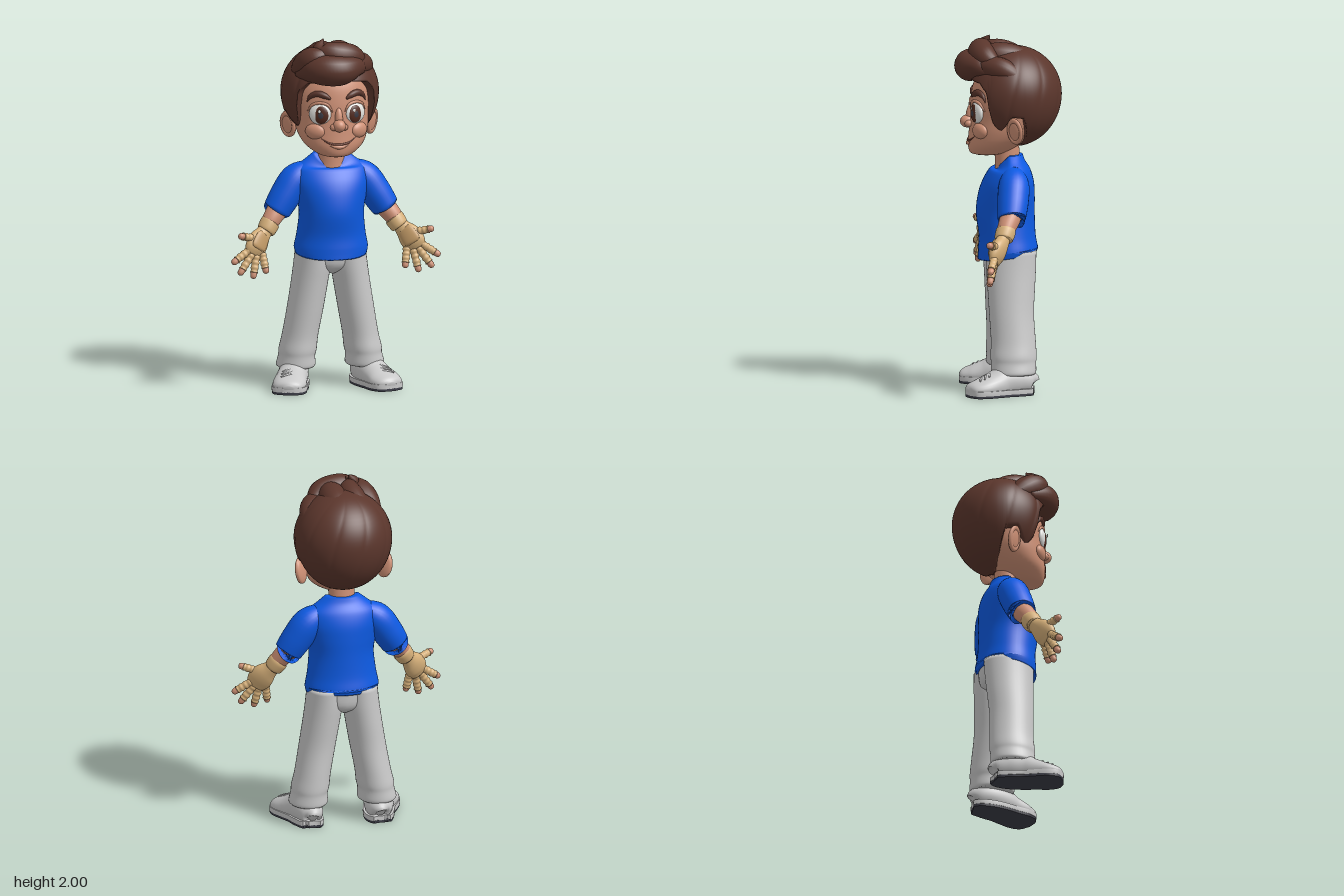
import * as THREE from 'three';
import { toCreasedNormals } from 'three/addons/utils/BufferGeometryUtils.js';

const material = (name, color) => {
  const m = new THREE.MeshStandardMaterial({ color });
  m.name = name;
  return m;
};
const V = (x, y, z) => new THREE.Vector3(x, y, z);
const Y = V(0, 1, 0), Z = V(0, 0, 1);

// Closed skin over a stack of rings, with a fan cap at each end
function skinRings(rings) {
  const n = rings[0].length, pos = [], idx = [];
  rings.forEach(r => r.forEach(p => pos.push(p.x, p.y, p.z)));
  for (let i = 0; i < rings.length - 1; i++) for (let j = 0; j < n; j++) {
    const a = i * n + j, b = i * n + (j + 1) % n;
    idx.push(a, b, b + n, a, b + n, a + n);
  }
  [0, rings.length - 1].forEach((i, end) => {
    const c = rings[i].reduce((s, p) => s.add(p), V(0, 0, 0)).divideScalar(n);
    const k = pos.length / 3;
    pos.push(c.x, c.y, c.z);
    for (let j = 0; j < n; j++) {
      const a = i * n + j, b = i * n + (j + 1) % n;
      if (end) idx.push(k, a, b); else idx.push(k, b, a);
    }
  });
  const g = new THREE.BufferGeometry();
  g.setAttribute('position', new THREE.Float32BufferAttribute(pos, 3));
  g.setIndex(idx);
  g.computeVertexNormals();
  return g;
}

// Smooth loft through rows [x, y, z, ru, rv]; level sections unless ref is given,
// otherwise sections square to the path with rv measured along ref
function loft(rows, ref, n = 28, sub = 5) {
  const C = new THREE.CatmullRomCurve3(rows.map(r => V(r[0], r[1], r[2])), false, 'catmullrom');
  const R = new THREE.CatmullRomCurve3(rows.map(r => V(r[3], r[4] ?? r[3], 0)), false, 'catmullrom');
  const count = (rows.length - 1) * sub, rings = [];
  for (let i = 0; i <= count; i++) {
    const c = C.getPoint(i / count), r = R.getPoint(i / count), t = C.getTangent(i / count);
    const u = ref ? ref.clone().cross(t).normalize() : V(1, 0, 0);
    const v = ref ? t.clone().cross(u) : V(0, 0, -1);
    rings.push(Array.from({ length: n }, (_, j) => {
      const a = j / n * Math.PI * 2;
      return c.clone().addScaledVector(u, Math.max(r.x, 5e-4) * Math.cos(a))
        .addScaledVector(v, Math.max(r.y, 5e-4) * Math.sin(a));
    }));
  }
  return skinRings(rings);
}

function warp(g, rule) {
  const p = g.attributes.position, v = V(0, 0, 0);
  for (let i = 0; i < p.count; i++) {
    v.fromBufferAttribute(p, i);
    rule(v);
    p.setXYZ(i, v.x, v.y, v.z);
  }
  g.computeVertexNormals();
  return g;
}

function ellipsoid(size, at, rot = [0, 0, 0]) {
  return new THREE.SphereGeometry(1, 28, 18).scale(...size)
    .applyMatrix4(new THREE.Matrix4().makeRotationFromEuler(new THREE.Euler(...rot))).translate(...at);
}

function mirrored(g) {
  const m = g.clone().scale(-1, 1, 1);
  if (!m.index) m.setIndex(Array.from({ length: m.attributes.position.count }, (_, i) => i));
  const a = m.index.array;
  for (let i = 0; i < a.length; i += 3) [a[i], a[i + 1]] = [a[i + 1], a[i]];
  const nrm = g.attributes.normal.clone();
  for (let i = 0; i < nrm.count; i++) nrm.setX(i, -nrm.getX(i));
  m.setAttribute('normal', nrm);
  return m;
}

// Piecewise linear lookup in rows of [key, value]
function lookup(table, k) {
  let i = 1;
  while (i < table.length - 1 && table[i][0] < k) i++;
  const [a, b] = [table[i - 1], table[i]];
  return THREE.MathUtils.mapLinear(THREE.MathUtils.clamp(k, a[0], b[0]), a[0], b[0], a[1], b[1]);
}

export function createModel() {
  const skin = material('skin', 0xcf9176), hair = material('hair', 0x5b362c);
  const blue = material('shirt blue', 0x0d5ae2), grey = material('light grey', 0xc9c9c9);
  const tan = material('glove tan', 0xd6b07a), pad = material('glove pad', 0xc49c68);
  const dark = material('sole dark', 0x3b3c46), white = material('eye white', 0xe6e6e2);
  const brown = material('iris brown', 0x542c20), line = material('mouth line', 0x7a4334);
  const model = new THREE.Group();
  const add = (name, g, m) => {
    const mesh = new THREE.Mesh(g, m);
    mesh.name = name;
    model.add(mesh);
  };
  const pair = (name, g, m) => {
    add(name + 'Left', g, m);
    add(name + 'Right', mirrored(g), m);
  };

  // Head and neck
  const headRows = [[0, 1.335, .12, .05, .06], [0, 1.35, .11, .1, .105], [0, 1.4, .075, .165, .15],
    [0, 1.47, .03, .2, .19], [0, 1.55, 0, .214, .214], [0, 1.65, -.01, .225, .22],
    [0, 1.75, -.02, .215, .21], [0, 1.85, -.03, .16, .16], [0, 1.89, -.03, .06, .06]];
  add('head', loft(headRows, null, 48), skin);
  add('neck', loft([[0, 1.22, 0, .085, .075], [0, 1.29, .002, .075, .071], [0, 1.42, .01, .075, .07]]), skin);
  const faceZ = (x, y) => {
    const at = k => lookup(headRows.map(r => [r[1], r[k]]), y);
    return at(2) + at(4) * Math.sqrt(Math.max(0, 1 - (x / at(3)) ** 2));
  };
  const onFace = (rows, lift = 0) => rows.map(([x, y, r]) => [x, y, faceZ(x, y) + lift, r]);

  // Nose, cheeks, mouth
  add('nose', ellipsoid([.036, .036, .042], [0, 1.523, .228]), skin);
  add('noseBridge', ellipsoid([.022, .06, .024], [0, 1.565, .213], [-.15, 0, 0]), skin);
  pair('nostril', ellipsoid([.021, .02, .024], [.03, 1.514, .222]), skin);
  pair('cheek', ellipsoid([.06, .045, .03], [.125, 1.485, .165], [0, .6, 0]), skin);
  add('mouth', loft(onFace([[-.1, 1.45, .001], [-.06, 1.425, .005], [0, 1.415, .006],
    [.06, 1.425, .005], [.1, 1.45, .001]], .002), Y, 10), line);
  add('lowerLip', loft(onFace([[-.055, 1.41, .002], [0, 1.4, .012], [.055, 1.41, .002]]), Y, 12), skin);

  // Eyes, each layer set a little further along the gaze
  const yaw = .4;
  const eyePart = (name, x, y, size, out, m) => pair(name,
    ellipsoid(size, [x + Math.sin(yaw) * out, y, .181 + Math.cos(yaw) * out], [0, yaw, 0]), m);
  eyePart('eyeball', .1, 1.585, [.064, .06, .025], 0, white);
  eyePart('iris', .093, 1.583, [.045, .051, .016], .014, brown);
  eyePart('pupil', .092, 1.582, [.022, .026, .008], .0235, dark);
  for (const s of [-1, 1]) add('eyeGlint', ellipsoid([.009, .01, .004], [s * .1 - .012, 1.605, .2115]), white);
  pair('upperLid', loft(onFace([[.035, 1.6, .003], [.06, 1.638, .008], [.1, 1.65, .009],
    [.14, 1.638, .008], [.165, 1.6, .003]], .004), Z, 10), skin);
  pair('eyebrow', loft(onFace([[.045, 1.672, .006], [.075, 1.69, .017], [.115, 1.7, .018],
    [.15, 1.682, .013], [.168, 1.65, .002]], .003), Z, 12), hair);

  // Ears
  const earTurn = [0, -.7, -.15];
  pair('ear', ellipsoid([.018, .073, .052], [.237, 1.495, -.025], earTurn), skin);
  pair('earRim', new THREE.TorusGeometry(.044, .011, 10, 28).rotateY(Math.PI / 2).scale(1, 1.4, .95)
    .applyMatrix4(new THREE.Matrix4().makeRotationFromEuler(new THREE.Euler(...earTurn)))
    .translate(.243, 1.498, -.022), skin);

  // Hair cap: an ovoid cut along a hairline, with soft combed ridges
  const hairline = [[0, 1.78], [40, 1.76], [52, 1.71], [58, 1.53], [66, 1.49], [74, 1.52], [84, 1.58],
    [100, 1.57], [109, 1.45], [122, 1.4], [150, 1.385], [180, 1.385]];
  const seg = 144, steps = 30, rings = [];
  for (let i = -1; i <= steps; i++) {
    rings.push(Array.from({ length: seg }, (_, j) => {
      const deg = j / seg * 360, az = THREE.MathUtils.degToRad(deg);
      const edge = lookup(hairline, Math.min(deg, 360 - deg)) - 1.68;
      const limit = Math.acos(edge / (edge > 0 ? .27 : .3));
      const phi = limit * (1 - Math.max(i, 0) / steps) + .002;
      const ridge = 1 - .016 * Math.sin(phi) * (1 - Math.abs(Math.sin(az * 5 + phi * 1.3))) ** 3;
      const r = Math.sin(phi) * ridge * (i < 0 ? .75 : 1), c = Math.cos(phi);
      return V(.277 * r * Math.sin(az), 1.68 + c * (c > 0 ? .27 : .3), -.03 + .272 * r * Math.cos(az));
    }));
  }
  add('hairCap', skinRings(rings), hair);

  // Swept locks of the quiff
  const locks = [
    [[[.16, 1.81, .1, .02], [.1, 1.845, .17, .06], [0, 1.835, .215, .085], [-.11, 1.835, .18, .08], [-.2, 1.8, .07, .03]], Y],
    [[[.16, 1.86, .07, .03], [.09, 1.895, .13, .07], [-.01, 1.915, .15, .075], [-.09, 1.945, .13, .045], [-.065, 2, .1, .002]], Z],
    [[[-.05, 1.93, .17, .03], [-.12, 1.89, .14, .075], [-.16, 1.84, .06, .075], [-.2, 1.77, -.04, .03]], Y],
    [[[.03, 1.92, .17, .03], [.04, 1.9, .08, .075], [.04, 1.88, -.03, .08], [.02, 1.83, -.14, .06]], Y],
    [[[.05, 1.86, .2, .03], [.12, 1.85, .12, .06], [.17, 1.83, .03, .065], [.2, 1.76, -.08, .04]], Y],
    [[[-.08, 1.94, .14, .03], [-.06, 1.915, .05, .065], [-.08, 1.87, -.05, .065], [-.1, 1.8, -.15, .04]], Y],
  ];
  locks.forEach(([rows, ref]) => add('hairLock', loft(rows, ref, 20, 8), hair));

  // Shirt, with a scooped neck and a hem rising to the back
  add('shirt', warp(loft([[0, .755, .005, .203, .165], [0, .8, 0, .21, .168], [0, .88, .005, .195, .16],
    [0, 1, .015, .184, .165], [0, 1.1, .01, .2, .16], [0, 1.18, 0, .213, .145], [0, 1.25, -.01, .2, .115],
    [0, 1.3, -.01, .14, .085], [0, 1.335, -.01, .095, .072]], null, 48), v => {
    v.y -= .065 * THREE.MathUtils.smoothstep(v.y, 1.24, 1.335) * THREE.MathUtils.clamp(v.z / .062, 0, 1);
    if (v.y < .8) v.y += .025 * THREE.MathUtils.clamp(.5 - v.z / .3, 0, 1) - .012 * Math.max(0, v.z / .17);
  }), blue);
  pair('sleeve', loft([[.12, 1.235, -.02, .06], [.195, 1.185, -.02, .086], [.255, 1.1, -.01, .088],
    [.303, 1.025, 0, .081], [.308, 1.017, 0, .077]], Z), blue);
  pair('arm', loft([[.2, 1.17, -.02, .06], [.29, 1.04, 0, .06], [.345, .97, .03, .053], [.385, .91, .05, .042]], Z), skin);

  // Gloved hands, palms forward
  const palmNormal = V(-.45, .1, .88).normalize();
  pair('gloveCuff', loft([[.352, .955, .035, .05], [.357, .948, .037, .056], [.38, .913, .05, .053], [.387, .903, .053, .045]], Z), tan);
  pair('palm', loft([[.375, .925, .045, .04, .036], [.4, .895, .06, .048, .038], [.43, .86, .08, .066, .042],
    [.455, .82, .1, .068, .038], [.472, .785, .11, .05, .022]], palmNormal), tan);
  pair('palmPad', loft([[.4, .897, .09, .02, .008], [.407, .887, .095, .044, .015], [.438, .833, .122, .05, .015],
    [.446, .818, .128, .032, .008]], palmNormal), pad);
  const fingers = { thumb: [[.455, .875, .095], [.56, .902, .15]], index: [[.49, .815, .112], [.598, .743, .142]],
    middle: [[.477, .79, .112], [.557, .677, .142]], ring: [[.45, .78, .108], [.477, .652, .14]],
    little: [[.415, .79, .098], [.398, .677, .132]] };
  for (const [name, [base, tip]] of Object.entries(fingers)) {
    const at = (k, r) => [...base.map((b, i) => b + (tip[i] - b) * k), r];
    const bands = Array.from({ length: 8 }, (_, i) => at(i * .105, i % 2 ? .0235 : .0195));
    pair(name + 'FingerGlove', loft(bands, Z, 14, 3), tan);
    pair(name + 'FingerTip', loft([at(.6, .018), at(.85, .0185), at(.96, .013), at(1, .001)], Z, 14), skin);
  }

  // Trousers
  add('trouserSeat', loft([[0, .65, -.01, .02, .07], [0, .7, -.01, .15, .128], [0, .8, -.01, .195, .14]]), grey);
  pair('trouserLeg', loft([[.198, .115, -.018, .1, .118], [.197, .13, -.018, .11, .127], [.192, .18, -.018, .103, .127],
    [.186, .22, -.018, .106, .13], [.172, .3, -.018, .101, .126], [.145, .45, -.01, .102, .126],
    [.12, .6, -.01, .103, .134], [.105, .7, -.01, .104, .14], [.098, .8, -.01, .1, .143]], null, 36), grey);

  // Shoes: upper, rim, dark sole and laces
  const shoeRows = [[.195, .06, -.13, .02, .03], [.195, .07, -.115, .06, .06], [.205, .08, -.04, .082, .085],
    [.225, .075, .04, .086, .09], [.25, .06, .1, .09, .075], [.275, .048, .17, .095, .055],
    [.288, .038, .225, .075, .04], [.295, .032, .249, .025, .018]];
  pair('shoe', warp(loft(shoeRows, Y), v => { v.y = Math.max(v.y, .02); }), grey);
  const slab = (lo, hi, grow) => toCreasedNormals(warp(
    loft(shoeRows.map(r => [r[0], (lo + hi) / 2, r[2], r[3] + grow, .09]), Y, 40),
    v => { v.y = THREE.MathUtils.clamp(v.y, lo, hi); }), .7);
  pair('shoeRim', slab(.014, .04, .005), grey);
  pair('sole', slab(0, .016, .003), dark);
  for (const [z, x, top] of [[.118, .256, .124], [.145, .266, .114], [.17, .275, .104]]) {
    pair('lace', loft([[x - .05, top - .01, z - .008, .004], [x, top + .001, z, .007], [x + .05, top - .01, z + .008, .004]], Y, 10), grey);
  }
  return model;
}
